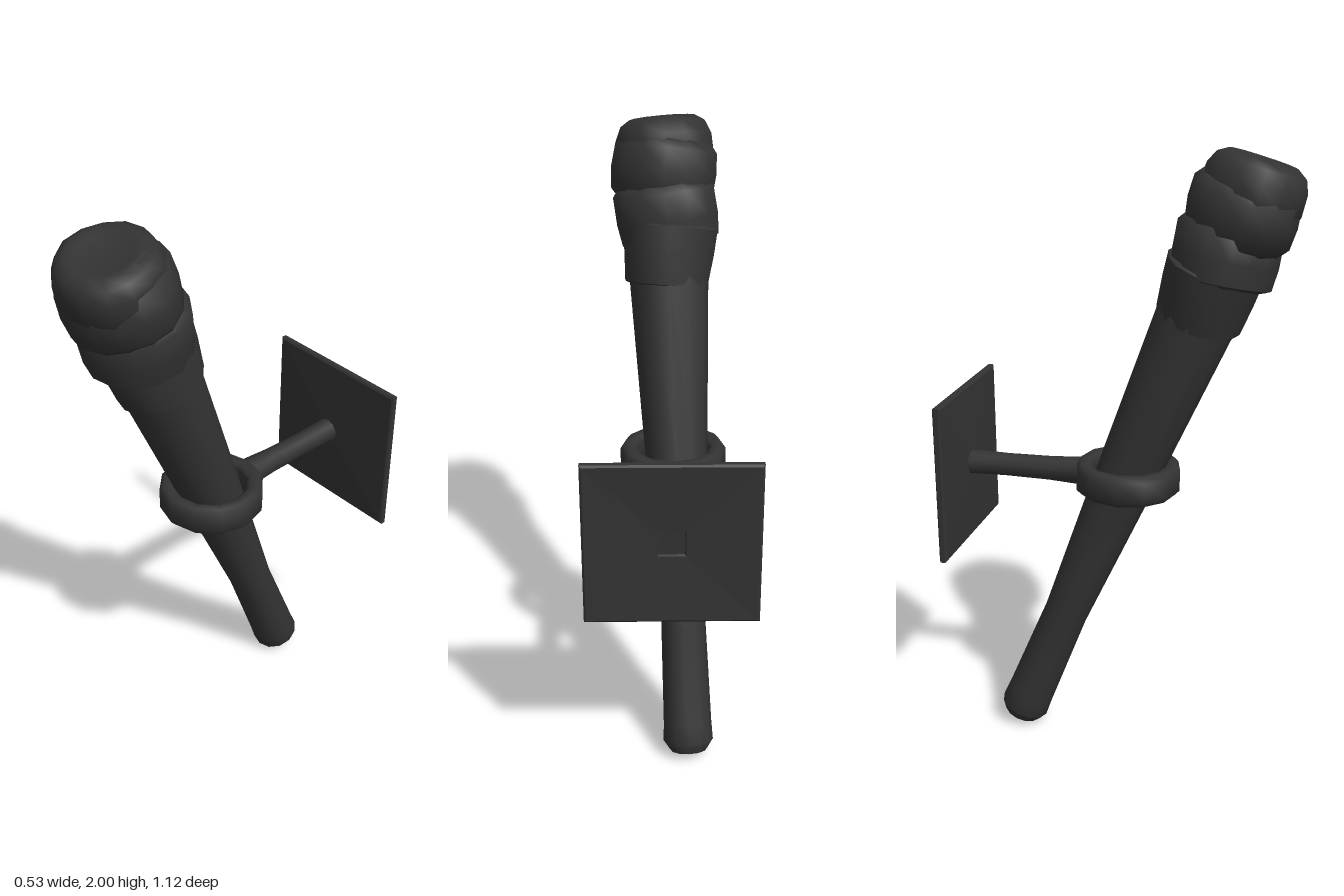
import * as THREE from 'three';
import { mergeVertices, toCreasedNormals } from 'three/addons/utils/BufferGeometryUtils.js';

const darkIron = new THREE.MeshStandardMaterial({ color: 0x333333 });
darkIron.name = 'charcoal';

// Turned shape around y, with an optional lumpiness and crease angle
function turned(name, points, sides, { lump = 0, seed = 0, crease = 0.7, start = 0 } = {}) {
  let geo = new THREE.LatheGeometry(points.map(([r, y]) => new THREE.Vector2(r, y)), sides, start);
  const pos = geo.attributes.position;
  for (let i = 0; i < pos.count; i++) {
    const x = pos.getX(i), y = pos.getY(i), z = pos.getZ(i);
    const a = Math.atan2(x, z);
    const k = 1 + lump * (Math.sin(3 * a + seed + y * 9) + 0.6 * Math.sin(5 * a - seed * 2));
    pos.setXYZ(i, x * k, y, z * k);
  }
  geo.deleteAttribute('uv');
  geo.deleteAttribute('normal');
  geo = toCreasedNormals(mergeVertices(geo, 1e-5), crease);
  const mesh = new THREE.Mesh(geo, darkIron);
  mesh.name = name;
  return mesh;
}

export function createModel() {
  const model = new THREE.Group();
  model.name = 'wallTorch';

  // Torch, leaning forward along its own axis
  const torch = new THREE.Group();
  torch.name = 'torch';
  const foot = new THREE.Vector3(-0.06, 0.03, -0.36);
  const tip = new THREE.Vector3(0.017, 1.95, 0.42);
  torch.position.copy(foot);
  torch.quaternion.setFromUnitVectors(new THREE.Vector3(0, 1, 0), tip.sub(foot).normalize());
  model.add(torch);

  // Tapered handle
  torch.add(turned('handle', [
    [0, 0.004], [0.062, 0.003], [0.083, 0.035], [0.08, 0.1], [0.074, 0.44],
    [0.102, 0.98], [0.13, 1.6], [0.13, 1.75], [0, 1.75],
  ], 12));

  // Overlapping cloth wraps, each tilted a little differently
  const wraps = [
    [1.65, -0.1, 0.12, [[0.125, -0.09], [0.139, -0.085], [0.15, 0.02], [0.155, 0.1], [0.13, 0.12]]],
    [1.80, -0.22, -0.1, [[0.14, -0.1], [0.161, -0.09], [0.168, -0.02], [0.167, 0.07], [0.14, 0.1]]],
    [1.93, -0.12, 0.14, [[0.15, -0.09], [0.168, -0.07], [0.175, 0.0], [0.17, 0.07], [0.145, 0.1]]],
    [2.03, -0.1, -0.05, [[0.15, -0.09], [0.164, -0.06], [0.16, 0.01], [0.142, 0.05], [0.11, 0.07], [0.085, 0.062], [0, 0.056]]],
  ];
  wraps.forEach(([height, tiltX, tiltZ, profile], i) => {
    const wrap = turned('clothWrap' + (i + 1), [[0, profile[0][1]], ...profile,
      ...(i < 3 ? [[0, profile[profile.length - 1][1]]] : [])], 14, { lump: 0.017, seed: 1.7 * i, crease: 0.9 });
    wrap.position.y = height;
    wrap.rotation.set(tiltX, 0, tiltZ);
    torch.add(wrap);
  });

  // Holding ring with rounded edges
  const ring = turned('holdingRing', [
    [0.122, -0.04], [0.135, -0.05], [0.16, -0.05], [0.174, -0.035], [0.174, 0.035], [0.16, 0.05],
    [0.135, 0.05], [0.122, 0.04], [0.122, -0.04],
  ], 12, { crease: 0.9 });
  ring.position.set(-0.012, 0.945, 0.016);
  ring.rotation.x = 0.02;
  model.add(ring);

  // Arm between ring and wall plate
  const arm = turned('arm', [
    [0, -0.54], [0.042, -0.54], [0.039, -0.4], [0.041, -0.25], [0.048, -0.135], [0, -0.135],
  ], 10);
  arm.rotation.x = Math.PI / 2;
  arm.position.set(-0.011, 0.948, 0);
  model.add(arm);

  // Square wall plate: shallow pyramid in front, dished behind
  const plate = turned('wallPlate', [
    [0, 0.004], [0.055, 0.004], [0.06, -0.002], [0.366, -0.017], [0.375, -0.012],
    [0.375, 0.004], [0.366, 0.008], [0.06, 0.016], [0, 0.016],
  ], 4, { start: Math.PI / 4, crease: 0.02 });
  plate.rotation.x = Math.PI / 2;
  plate.position.set(0, 0.946, -0.543);
  model.add(plate);

  return model;
}
